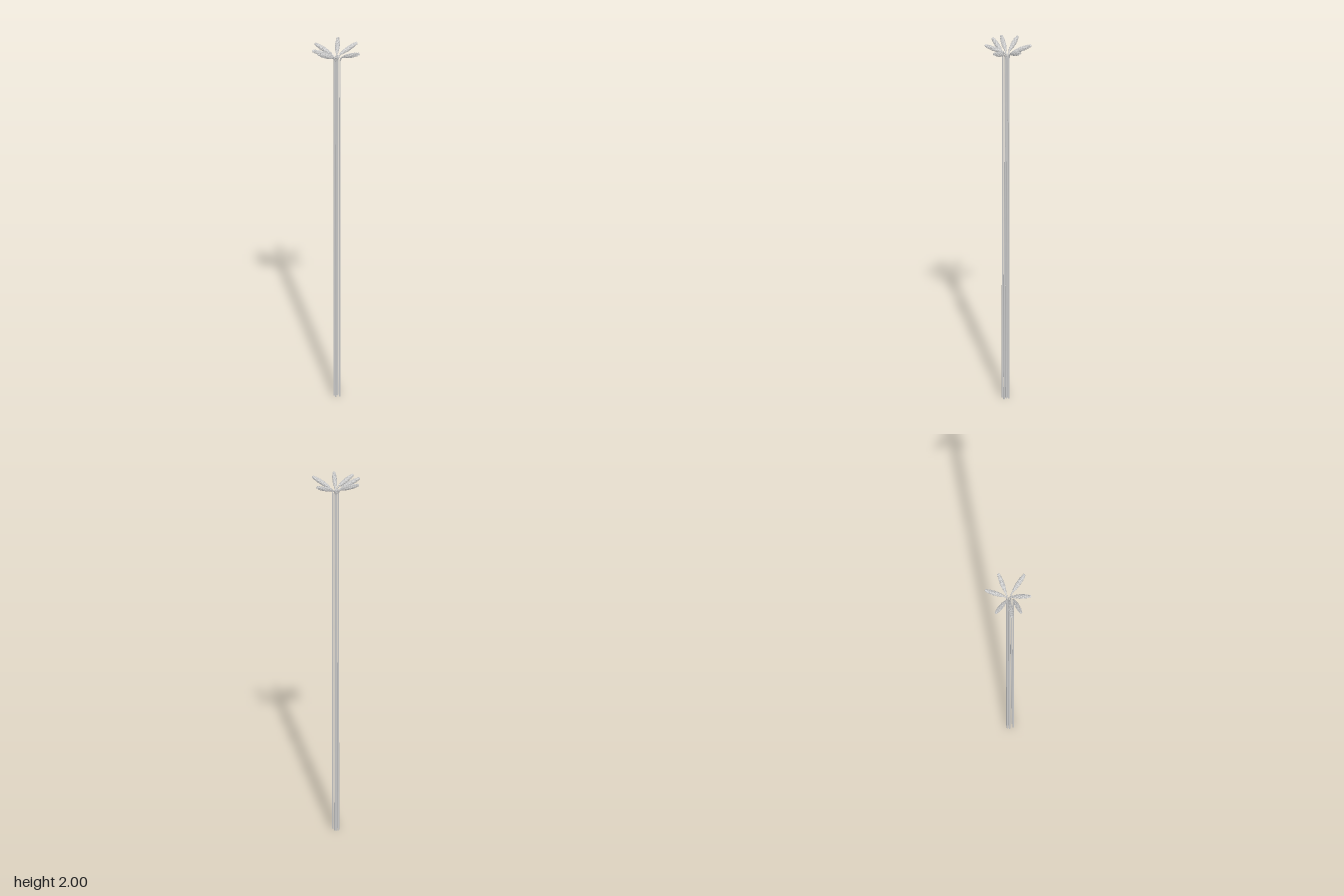
import * as THREE from 'three';
import { mergeGeometries } from 'three/addons/utils/BufferGeometryUtils.js';

const material = new THREE.MeshStandardMaterial({ color: 0xcccccc, side: THREE.DoubleSide });
const UP = new THREE.Vector3(0, 1, 0);

// Each stalk: foot x, z; top x, z; ear tip x, y, z
const STALKS = [
  [0.005, -0.007, 0.005, -0.008, 0.055, 1.995, -0.114],
  [0.010, -0.004, 0.010, -0.006, 0.127, 1.994, -0.022],
  [0.010, 0.022, 0.014, 0.016, 0.086, 1.994, 0.111],
  [0.003, 0.005, 0.004, 0.002, -0.041, 1.994, 0.111],
  [-0.012, 0.022, -0.010, 0.021, -0.117, 1.994, 0.036],
  [-0.013, 0.002, -0.011, 0.001, -0.128, 1.994, -0.018],
  [-0.007, -0.008, -0.006, -0.007, -0.084, 1.995, -0.094],
];

// Half-width of the ear at t = 0 (base) to 1 (tip)
const earRadius = (t) => 0.0115 * Math.pow(Math.sin(Math.PI * (0.08 + 0.86 * t)), 0.6);

// Spindle core wrapped in staggered rows of overlapping grains, along +y
function earGeometry(length) {
  const profile = [new THREE.Vector2(0, 0)];
  for (let i = 0; i <= 12; i++) {
    const t = i / 12;
    profile.push(new THREE.Vector2(earRadius(t) * 0.93, t * length * 0.97));
  }
  profile.push(new THREE.Vector2(0, length));
  const parts = [new THREE.LatheGeometry(profile, 12)];
  const rows = 9, around = 6;
  for (let r = 0; r < rows; r++) {
    const t = 0.07 + 0.83 * r / (rows - 1);
    const radius = earRadius(t);
    for (let k = 0; k < around; k++) {
      const grain = new THREE.SphereGeometry(1, 6, 6);
      grain.scale(radius * 0.48, length * 0.075, radius * 0.3);
      grain.rotateX(0.1);
      grain.translate(0, t * length, radius * 0.8);
      grain.rotateY((k + (r % 2) / 2) / around * Math.PI * 2);
      parts.push(grain);
    }
  }
  return mergeGeometries(parts);
}

export function createModel() {
  const model = new THREE.Group();
  model.name = 'grainStalkBundle';

  STALKS.forEach(([fx, fz, tx, tz, ex, ey, ez], i) => {
    const stalk = new THREE.Group();
    stalk.name = 'grainStalk' + (i + 1);

    const tip = new THREE.Vector3(ex, ey, ez);
    const neck = new THREE.Vector3(
      THREE.MathUtils.lerp(tx, ex, 0.15), 1.952, THREE.MathUtils.lerp(tz, ez, 0.15));
    const direction = tip.clone().sub(neck);
    const length = direction.length();
    direction.normalize();

    // Straight stem, slightly tapered
    const foot = new THREE.Vector3(fx, 0, fz);
    const top = new THREE.Vector3(tx, 1.915, tz);
    const rise = top.clone().sub(foot);
    const stem = new THREE.Mesh(
      new THREE.CylinderGeometry(0.0038, 0.0046, rise.length(), 8, 1), material);
    stem.name = 'stem';
    stem.position.copy(foot).add(top).multiplyScalar(0.5);
    stem.quaternion.setFromUnitVectors(UP, rise.normalize());

    // Bent neck leading into the ear
    const bend = new THREE.CubicBezierCurve3(
      top, top.clone().add(new THREE.Vector3(0, 0.02, 0)),
      neck.clone().addScaledVector(direction, -0.012),
      neck.clone().addScaledVector(direction, 0.006));
    const neckMesh = new THREE.Mesh(new THREE.TubeGeometry(bend, 10, 0.0038, 8), material);
    neckMesh.name = 'neck';

    const ear = new THREE.Mesh(earGeometry(length), material);
    ear.name = 'ear';
    ear.position.copy(neck);
    ear.quaternion.setFromUnitVectors(UP, direction);

    stalk.add(stem, neckMesh, ear);
    model.add(stalk);
  });
  return model;
}
